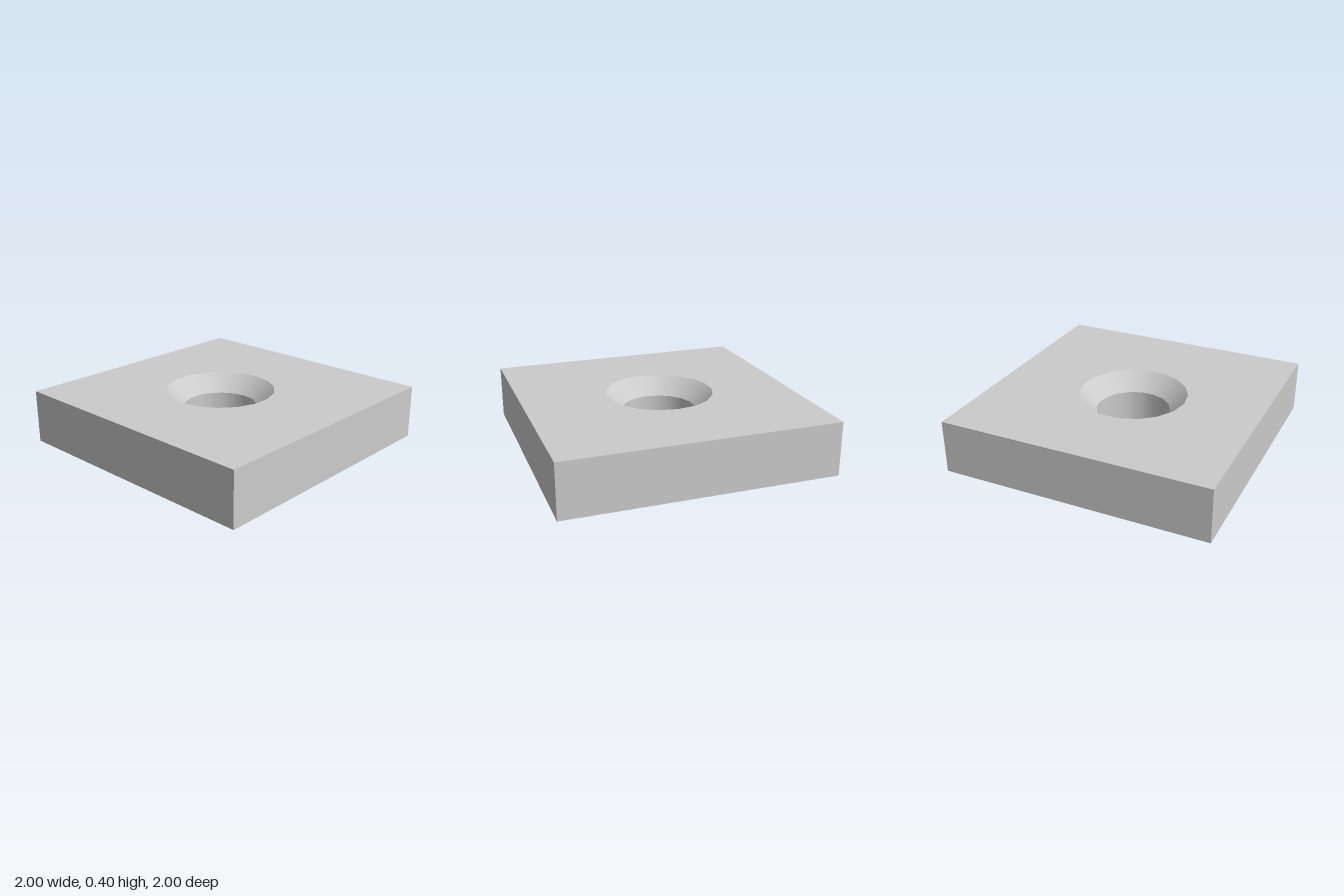
import * as THREE from 'three';
import { mergeGeometries } from 'three/addons/utils/BufferGeometryUtils.js';

const HEIGHT = 0.4, SIDES = 18;
const HOLE_X = -0.018, HOLE_Z = -0.033;
const BORE_R = 0.277, SINK_R = 0.407, SINK_Y = 0.27;

// Square face with an 18-sided hole, facing up (dir = 1) or down (dir = -1)
function holedFace(radius, y, dir) {
  const shape = new THREE.Shape([[-1, -1], [1, -1], [1, 1], [-1, 1]].map(p => new THREE.Vector2(...p)));
  const ring = [];
  for (let i = 0; i < SIDES; i++) {
    const a = (i / SIDES) * Math.PI * 2;
    ring.push(new THREE.Vector2(HOLE_X + radius * Math.cos(a), -dir * HOLE_Z + radius * Math.sin(a)));
  }
  shape.holes.push(new THREE.Path(ring));
  return new THREE.ShapeGeometry(shape).rotateX(-dir * Math.PI / 2).translate(0, y, 0);
}

// Inward-facing ring wall, listed from top to bottom
function holeWall(name, rTop, yTop, rBottom, yBottom, material) {
  const profile = [new THREE.Vector2(rTop, yTop), new THREE.Vector2(rBottom, yBottom)];
  const mesh = new THREE.Mesh(new THREE.LatheGeometry(profile, SIDES, Math.PI / 2), material);
  mesh.position.set(HOLE_X, 0, HOLE_Z);
  mesh.name = name;
  return mesh;
}

export function createModel() {
  const group = new THREE.Group();
  group.name = 'countersunkPlate';
  const material = new THREE.MeshStandardMaterial({ color: 0xcccccc });

  // Plate: top and bottom with holes, and four plain sides
  const faces = [holedFace(SINK_R, HEIGHT, 1), holedFace(BORE_R, 0, -1)];
  for (let i = 0; i < 4; i++) {
    faces.push(new THREE.PlaneGeometry(2, HEIGHT).translate(0, HEIGHT / 2, 1).rotateY(i * Math.PI / 2));
  }
  const plate = new THREE.Mesh(mergeGeometries(faces), material);
  plate.name = 'plate';

  // Hole: sloped countersink above a straight bore
  group.add(
    plate,
    holeWall('countersink', SINK_R, HEIGHT, BORE_R, SINK_Y, material),
    holeWall('bore', BORE_R, SINK_Y, BORE_R, 0, material)
  );
  return group;
}
